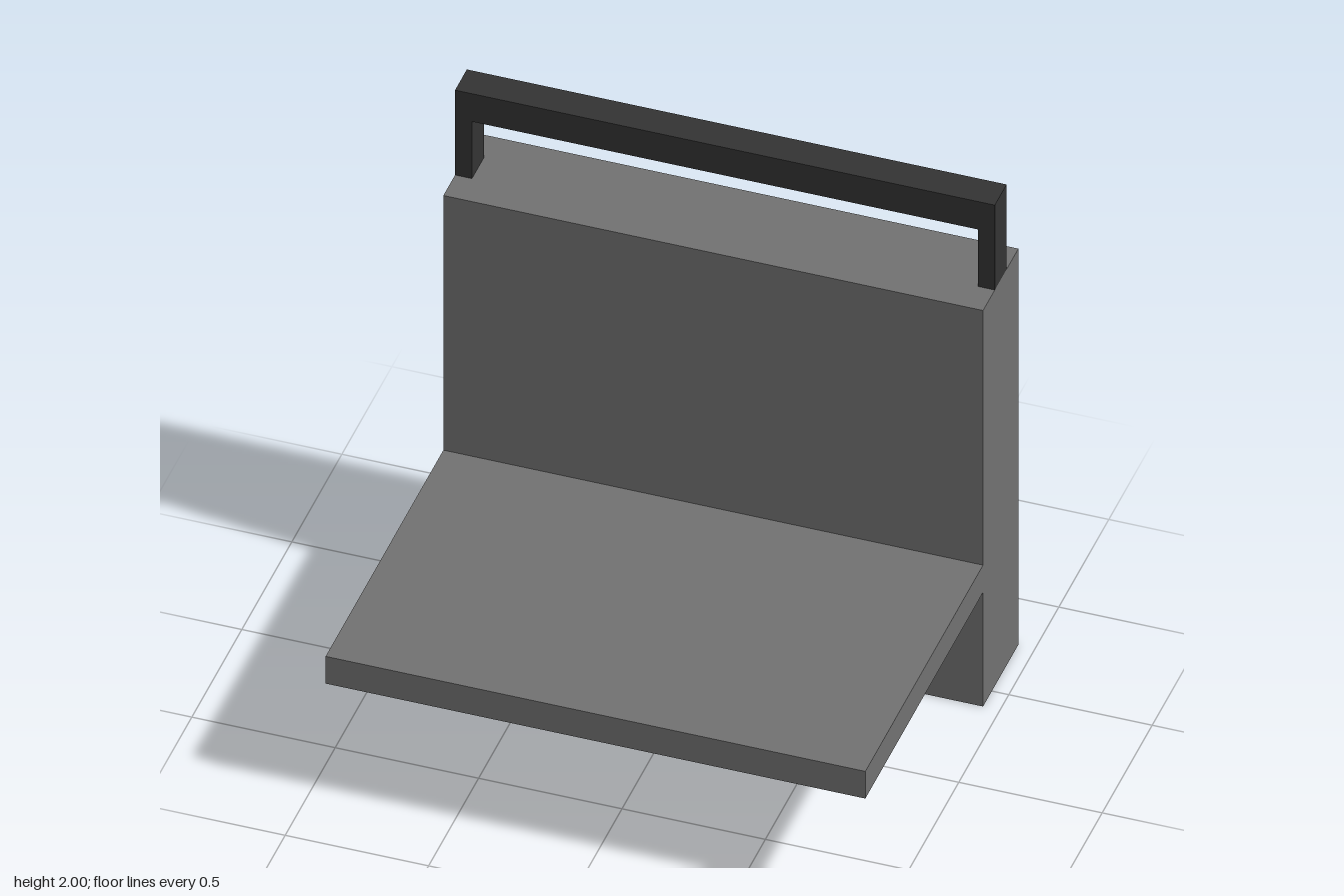
import * as THREE from 'three';

export function createModel() {
  const model = new THREE.Group();
  model.name = 'seatWithHandle';

  const grey = new THREE.MeshStandardMaterial({ name: 'midGrey', color: 0x727272 });
  const dark = new THREE.MeshStandardMaterial({ name: 'darkGrey', color: 0x343434 });

  // Box given by its min and max corners
  function box(name, material, [x0, y0, z0], [x1, y1, z1]) {
    const mesh = new THREE.Mesh(new THREE.BoxGeometry(x1 - x0, y1 - y0, z1 - z0), material);
    mesh.position.set((x0 + x1) / 2, (y0 + y1) / 2, (z0 + z1) / 2);
    mesh.name = name;
    model.add(mesh);
  }

  const W = 0.941;       // half width
  const backTop = 1.647;

  // Upright back panel and the seat shelf in front of it
  box('backPanel', grey, [-W, 0, -0.765], [W, backTop, -0.412]);
  box('seat', grey, [-W, 0.475, -0.412], [W, 0.588, 0.765]);

  // Carry handle: one U-shaped frame, extruded front to back
  const inner = W - 0.059, barBottom = 1.884;
  const outline = new THREE.Shape([
    [-W, backTop], [-inner, backTop], [-inner, barBottom], [inner, barBottom],
    [inner, backTop], [W, backTop], [W, 2], [-W, 2],
  ].map(([x, y]) => new THREE.Vector2(x, y)));
  const handle = new THREE.Mesh(
    new THREE.ExtrudeGeometry(outline, { depth: 0.118, bevelEnabled: false }), dark);
  handle.position.z = -0.647;
  handle.name = 'handle';
  model.add(handle);

  return model;
}
